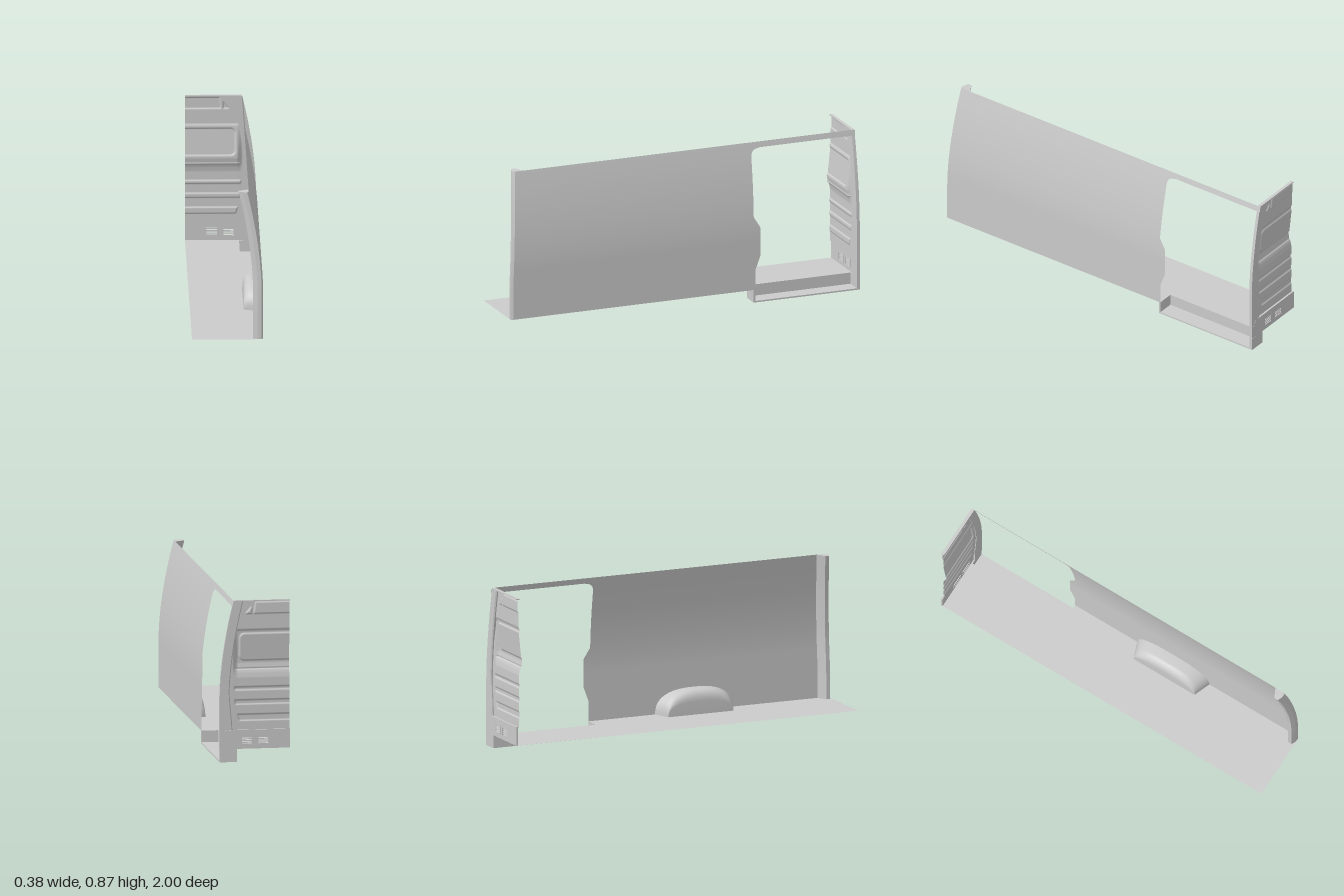
import * as THREE from 'three';

const material = new THREE.MeshStandardMaterial({ color: 0xcccccc, side: THREE.DoubleSide });
const lerp = THREE.MathUtils.lerp, smooth = THREE.MathUtils.smoothstep;
const FLOOR = 0.07, TOP = 0.865, LEFT = -0.19;

// Piecewise linear or smoothed lookup of a value over height
function lookup(points, y) {
  if (y <= points[0][0]) return points[0][1];
  for (let i = 1; i < points.length; i++) {
    const [y0, a] = points[i - 1], [y1, b] = points[i];
    if (y <= y1) return lerp(a, b, (y - y0) / (y1 - y0));
  }
  return points[points.length - 1][1];
}

// Outer skin, front edge and frame edge as functions of height
const wallX = y => 0.186 - 0.075 * Math.pow(Math.max(0, (y - 0.34) / 0.525), 1.75);
const frontZ = y => 1 - 0.04 * Math.pow(Math.max(0, (y - 0.2) / 0.665), 1.5);
const frameX = y => wallX(y) - 0.053 - 0.016 * (1 - smooth(y, 0.15, 0.4));
const doorEdge = [[0.07, -0.4], [0.18, -0.4], [0.26, -0.43], [0.41, -0.43], [0.47, -0.393],
  [0.79, -0.4], [0.81, -0.404], [0.825, -0.416], [0.832, -0.43], [0.835, -0.455]];

// Surface sampled on a u, v grid
function sheet(nu, nv, fn) {
  const pos = [], idx = [];
  for (let j = 0; j <= nv; j++) for (let i = 0; i <= nu; i++) pos.push(...fn(i / nu, j / nv));
  for (let j = 0; j < nv; j++) for (let i = 0; i < nu; i++) {
    const a = j * (nu + 1) + i, b = a + nu + 1;
    idx.push(a, a + 1, b + 1, a, b + 1, b);
  }
  const g = new THREE.BufferGeometry();
  g.setAttribute('position', new THREE.Float32BufferAttribute(pos, 3));
  g.setIndex(idx);
  g.computeVertexNormals();
  return g;
}

// Closed post: a section of [x, z] corners swept up in height, with a cap, sharp between faces
function post(group, name, section) {
  const part = new THREE.Group();
  part.name = name;
  const n = section(FLOOR).length;
  for (let k = 0; k < n; k++) {
    add(part, name + 'Face', sheet(1, 40, (u, v) => {
      const y = lerp(FLOOR, TOP, v), s = section(y), p = s[(k + Math.round(u)) % n];
      return [p[0], y, p[1]];
    }));
  }
  const cap = new THREE.ShapeGeometry(new THREE.Shape(section(TOP).map(p => new THREE.Vector2(p[0], -p[1]))));
  add(part, name + 'Cap', cap.rotateX(-Math.PI / 2).translate(0, TOP, 0));
  group.add(part);
}

function add(group, name, geometry) {
  const m = new THREE.Mesh(geometry, material);
  m.name = name;
  group.add(m);
  return m;
}

function box(group, name, x0, x1, y0, y1, z0, z1) {
  const g = new THREE.BoxGeometry(x1 - x0, y1 - y0, z1 - z0);
  return add(group, name, g.translate((x0 + x1) / 2, (y0 + y1) / 2, (z0 + z1) / 2));
}

function rect(target, x0, y0, x1, y1) {
  target.moveTo(x0, y0);
  target.lineTo(x1, y0);
  target.lineTo(x1, y1);
  target.lineTo(x0, y1);
  target.closePath();
  return target;
}

// Pressed shapes in the rear panel: y0, y1, end x, end slope, depth, start x
const pressings = [
  [0.217, 0.255, 0.08, 0.3, 0.005, -1],
  [0.304, 0.332, 0.104, 0, 0.005, -1],
  [0.380, 0.402, 0.107, 0, 0.005, -1],
  [0.490, 0.500, 0.104, 0, 0.005, -1],
  [0.790, 0.856, 0.004, -0.15, -0.005, -1],
  [0.790, 0.838, 0.049, -0.85, -0.005, 0.01],
];
const panelProfile = [[0.16, -0.985], [0.45, -0.984], [0.475, -0.979], [0.5, -0.970],
  [0.525, -0.965], [0.55, -0.9655], [0.70, -0.981], [0.71, -0.986], [0.87, -0.986]];

function panelZ(x, y) {
  // The bulge fades out towards the frame
  const fade = 1 - smooth(x, 0.085, 0.115);
  let z = lerp(-0.985, lookup(panelProfile, y), fade);
  for (const [y0, y1, end, slope, depth, start] of pressings) {
    const d = Math.min(y - y0, y1 - y, end + slope * (y - y0) - x, x - start);
    z += depth * smooth(d, 0, 0.005);
  }
  // Rounded window-shaped recess
  const r = 0.03, qx = Math.max(0, x - (0.081 - r)), qy = Math.max(0, Math.abs(y - 0.613) - (0.077 - r));
  z -= 0.006 * smooth(r - Math.hypot(qx, qy), 0, 0.009);
  return z;
}

export function createModel() {
  const model = new THREE.Group();
  model.name = 'vanCargoSide';

  // Floor, notched for the door step
  const floor = new THREE.Shape();
  [[LEFT, -1], [0.186, -1], [0.186, 0.39], [0.095, 0.39], [0.095, 1], [LEFT, 1]]
    .forEach(([x, y], i) => i ? floor.lineTo(x, y) : floor.moveTo(x, y));
  add(model, 'floor', new THREE.ShapeGeometry(floor).rotateX(-Math.PI / 2).translate(0, FLOOR, 0));

  // Door step
  const step = new THREE.Group();
  step.name = 'doorStep';
  box(step, 'tread', 0.095, 0.186, 0, 0.008, -1, -0.39);
  box(step, 'riser', 0.093, 0.096, 0, FLOOR, -1, -0.39);
  box(step, 'stepFrontEnd', 0.095, 0.186, 0, FLOOR, -0.4, -0.39);
  box(step, 'stepRearEnd', 0.095, 0.186, 0, FLOOR, -1, -0.982);
  model.add(step);

  // Side wall with the shaped door edge, and the rail above the door
  add(model, 'sideWall', sheet(12, 100, (u, v) => {
    const y = lerp(FLOOR, 0.835, v);
    return [wallX(y), y, lerp(lookup(doorEdge, y), frontZ(y) - 0.012, u)];
  }));
  add(model, 'roofRail', sheet(12, 4, (u, v) => {
    const y = lerp(0.835, TOP, v);
    return [wallX(y), y, lerp(-1, frontZ(y) - 0.012, u)];
  }));

  // Front pillar and rear door frame
  post(model, 'frontPillar', y => {
    const w = wallX(y), z = frontZ(y);
    return [[w, z - 0.06], [w, z - 0.012], [w - 0.008, z], [w - 0.03, z - 0.002],
      [w - 0.053, z - 0.012], [w - 0.053, z - 0.034]];
  });
  post(model, 'rearFrame', y => {
    const w = wallX(y), e = frameX(y);
    return [[w, -0.998], [w, -0.981], [e, -0.981], [e, -0.992], [e + 0.006, -0.998]];
  });

  // Rear panel with pressed grooves
  add(model, 'rearPanel', sheet(80, 200, (u, v) => {
    const y = lerp(0.165, TOP, v), x = lerp(LEFT, frameX(y) + 0.003, u);
    return [x, y, panelZ(x, y)];
  }));
  box(model, 'rearPanelTop', LEFT, 0.111, 0.859, TOP, -0.998, -0.981);

  // Lower rear panel with slotted vents
  const lower = new THREE.Shape();
  lower.moveTo(LEFT, FLOOR);
  lower.lineTo(0.172, FLOOR);
  lower.lineTo(0.172, 0.13);
  lower.quadraticCurveTo(0.17, 0.17, 0.135, 0.171);
  lower.lineTo(LEFT, 0.171);
  lower.closePath();
  for (const x of [-0.081, 0.008]) {
    for (let i = 0; i < 4; i++) {
      const y = 0.097 + i * 0.0095;
      lower.holes.push(rect(new THREE.Path(), x + 0.006, y, x + 0.06, y + 0.0045));
    }
    const rim = rect(new THREE.Shape(), x, 0.09, x + 0.067, 0.138);
    rim.holes.push(rect(new THREE.Path(), x + 0.003, 0.093, x + 0.064, 0.135));
    add(model, 'ventRim', new THREE.ExtrudeGeometry(rim, { depth: 0.013, bevelEnabled: false }).translate(0, 0, -1));
  }
  add(model, 'lowerRearPanel',
    new THREE.ExtrudeGeometry(lower, { depth: 0.01, bevelEnabled: false }).translate(0, 0, -0.9995));

  // Wheel arch: rings from the inner face out to the wall
  const rings = [[0.094, 0], [0.094, 0.55], [0.0965, 0.7], [0.102, 0.82], [0.111, 0.91], [0.122, 0.97],
    [0.135, 1], [0.186, 1]];
  add(model, 'wheelArch', sheet(40, rings.length - 1, (u, v) => {
    const [x, r] = rings[Math.round(v * (rings.length - 1))];
    const c = Math.cos(u * Math.PI), s = Math.max(0, Math.sin(u * Math.PI));
    const half = r === 0 ? 0 : lerp(0.19, 0.225, (x - 0.094) / 0.092);
    const z = 0.215 + half * Math.sign(c) * Math.pow(Math.abs(c), 0.8);
    return [x, FLOOR + 0.13 * r * Math.pow(s, 0.8), z];
  }));

  return model;
}
